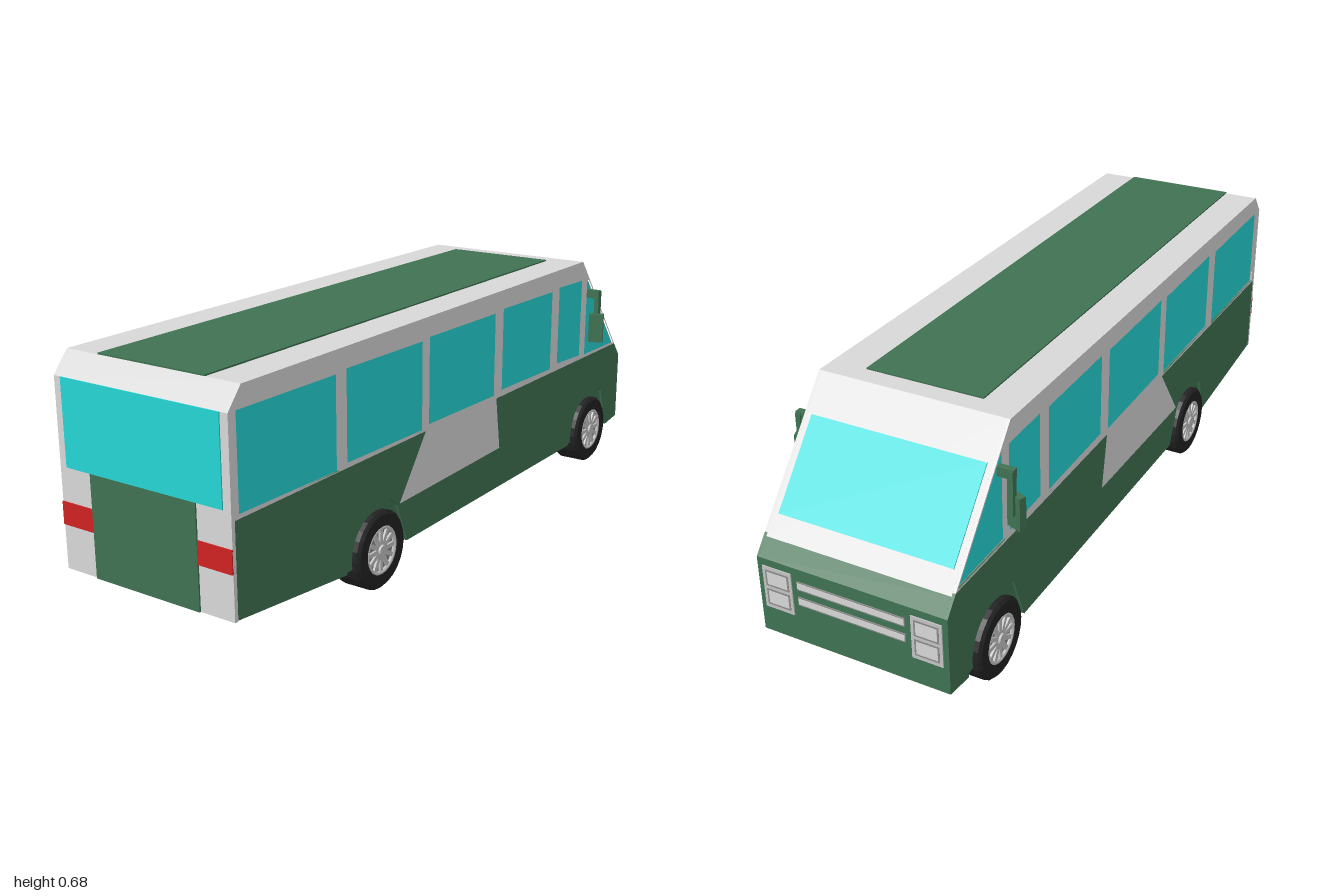
import * as THREE from 'three';

const paint = (name, color, side = THREE.FrontSide) => {
  const m = new THREE.MeshStandardMaterial({ color, side });
  m.name = name;
  return m;
};

export function createModel() {
  const bus = new THREE.Group();
  bus.name = 'bus';
  const grey = paint('light grey', 0xd8d8d8);
  const green = paint('green', 0x3f7252);
  const cyan = paint('cyan glass', 0x25d6d6);
  const red = paint('red', 0xd02222);
  const black = paint('tyre black', 0x222222);
  const metal = paint('rim metal', 0xc4c4c4);
  const shade = paint('recess grey', 0x8c8c8c);

  const add = (name, geo, mat, parent = bus) => {
    const m = new THREE.Mesh(geo, mat);
    m.name = name;
    parent.add(m);
    return m;
  };
  // Side outline given as [z, y] points, extruded across x
  const toPts = (pts) => pts.map(([z, y]) => new THREE.Vector2(-z, y));
  const slab = (name, pts, x0, x1, mat, holes = []) => {
    const shape = new THREE.Shape(toPts(pts));
    shape.holes = holes.map((h) => new THREE.Path(toPts(h)));
    const geo = new THREE.ExtrudeGeometry(shape, { depth: x1 - x0, bevelEnabled: false });
    geo.translate(0, 0, x0).rotateY(Math.PI / 2);
    return add(name, geo, mat);
  };
  // Box given by its limits
  const block = (name, x0, x1, y0, y1, z0, z1, mat, parent = bus) => {
    const m = add(name, new THREE.BoxGeometry(x1 - x0, y1 - y0, z1 - z0), mat, parent);
    m.position.set((x0 + x1) / 2, (y0 + y1) / 2, (z0 + z1) / 2);
    return m;
  };

  const W = 0.267, C = 0.259;

  // Body core, grey above and green below
  slab('upperBody', [[0.996, 0.35], [0.996, 0.62], [0.95, 0.675], [-0.695, 0.675], [-0.963, 0.35]], -C, C, grey);
  slab('lowerBody', [[0.99, 0.35], [-0.963, 0.35], [-0.996, 0.31], [-0.996, 0.095], [-0.92, 0.085],
    [0.57, 0.085], [0.99, 0.13]], -C, C, green);
  block('rearPanel', -W, W, 0.128, 0.4, 0.985, 0.996, grey);

  // Side windows
  const pane = (a, b) => [[a, 0.378], [a, 0.62], [b, 0.615], [b, 0.37]];
  const windows = [pane(0.97, 0.6), pane(0.565, 0.22), pane(0.195, -0.16), pane(-0.195, -0.505), pane(-0.54, -0.705),
    [[-0.73, 0.365], [-0.73, 0.61], [-0.742, 0.61], [-0.947, 0.362]]];

  // Side panels: window wall with its lower patch, and skirt with wheel arches
  const wall = [[0.996, 0.37], [0.996, 0.62], [0.95, 0.675], [-0.695, 0.675], [-0.957, 0.357],
    [-0.165, 0.362], [-0.19, 0.205], [0.335, 0.2], [0.21, 0.366]];
  const skirt = [[0.985, 0.37], [0.21, 0.366], [0.335, 0.2], [-0.19, 0.205], [-0.165, 0.362], [-0.957, 0.357],
    [-0.996, 0.31], [-0.996, 0.095], [-0.915, 0.085], [-0.87, 0.215], [-0.85, 0.228], [-0.71, 0.228],
    [-0.69, 0.215], [-0.64, 0.085], [0.3, 0.085], [0.345, 0.2], [0.38, 0.232], [0.48, 0.232],
    [0.53, 0.2], [0.57, 0.085], [0.985, 0.13]];
  for (const s of [-1, 1]) {
    const span = (a, b) => (s > 0 ? [a, b] : [-b, -a]);
    slab('windowWall', wall, ...span(C, W), grey, windows);
    slab('skirt', skirt, ...span(C, W), green);
    for (const w of windows) slab('sideWindow', w, ...span(C, C + 0.002), cyan);
  }

  // Roof stripe and rear details
  block('roofStripe', -0.165, 0.165, 0.672, 0.679, -0.64, 0.95, green);
  block('rearWindow', -0.244, 0.244, 0.395, 0.62, 0.992, 0.999, cyan);
  block('rearDoor', -0.165, 0.165, 0.128, 0.395, 0.992, 1, green);
  for (const s of [-1, 1]) {
    block('tailLight', Math.min(s * 0.165, s * W), Math.max(s * 0.165, s * W), 0.245, 0.305, 0.992, 0.999, red);
  }

  // Windscreen lying on the sloping front
  const slope = (z) => 0.675 + (z + 0.695) * (0.325 / 0.268);
  const z0 = -0.925, z1 = -0.765;
  const screen = add('windscreen', new THREE.BoxGeometry(0.49, 0.006, Math.hypot(z1 - z0, slope(z1) - slope(z0))), cyan);
  screen.position.set(0, slope((z0 + z1) / 2), (z0 + z1) / 2);
  screen.rotation.x = -Math.atan2(0.325, 0.268);

  // Headlights and grille bars
  for (const s of [-1, 1]) {
    const lamp = new THREE.Group();
    lamp.name = 'headlight';
    lamp.position.x = s * 0.21;
    bus.add(lamp);
    block('lampFrame', -0.042, 0.042, 0.17, 0.29, -0.999, -0.993, metal, lamp);
    for (const y of [0.18, 0.235]) {
      block('lampRim', -0.034, 0.034, y, y + 0.046, -0.9995, -0.994, shade, lamp);
      block('lampLens', -0.029, 0.029, y + 0.005, y + 0.041, -1, -0.994, grey, lamp);
    }
  }
  for (const y of [0.21, 0.255]) {
    block('grilleShadow', -0.152, 0.152, y - 0.004, y + 0.02, -0.999, -0.993, shade);
    block('grilleBar', -0.15, 0.15, y, y + 0.017, -1, -0.993, grey);
  }

  // Mirrors
  for (const s of [-1, 1]) {
    const mirror = new THREE.Group();
    mirror.name = 'mirror';
    bus.add(mirror);
    const put = (name, w, h, d, x, y, z, turn = 0) => {
      const m = add(name, new THREE.BoxGeometry(w, h, d), green, mirror);
      m.position.set(s * x, y, z);
      m.rotation.y = s * turn;
    };
    put('mirrorArm', 0.045, 0.025, 0.018, 0.2825, 0.566, -0.745);
    put('mirrorStem', 0.015, 0.12, 0.018, 0.2975, 0.515, -0.748);
    put('mirrorHead', 0.045, 0.09, 0.02, 0.302, 0.46, -0.735, 0.35);
  }

  // Wheels: tyre, dished rim, spokes and hub
  const tyreProfile = [[0.066, -0.0435], [0.098, -0.0435], [0.106, -0.036], [0.106, 0.036],
    [0.098, 0.0435], [0.066, 0.0435], [0.066, -0.0435]].map(([r, y]) => new THREE.Vector2(r, y));
  for (const z of [0.433, -0.777]) for (const s of [-1, 1]) {
    const wheel = new THREE.Group();
    wheel.name = 'wheel';
    wheel.position.set(s * 0.2365, 0.106, z);
    wheel.rotation.z = -s * Math.PI / 2;
    bus.add(wheel);
    const tyreGeo = new THREE.LatheGeometry(tyreProfile, 24).toNonIndexed();
    tyreGeo.computeVertexNormals();
    add('tyre', tyreGeo, black, wheel);
    add('rimDisc', new THREE.CylinderGeometry(0.067, 0.067, 0.07, 24), shade, wheel);
    const lip = add('rimLip', new THREE.TorusGeometry(0.062, 0.006, 6, 24), metal, wheel);
    lip.rotation.x = Math.PI / 2;
    lip.position.y = 0.038;
    add('hub', new THREE.CylinderGeometry(0.014, 0.018, 0.014, 12), metal, wheel).position.y = 0.039;
    for (let i = 0; i < 12; i++) {
      const a = (i / 12) * Math.PI * 2;
      const spoke = add('spoke', new THREE.BoxGeometry(0.05, 0.008, 0.012), metal, wheel);
      spoke.position.set(Math.cos(a) * 0.036, 0.037, Math.sin(a) * 0.036);
      spoke.rotation.y = -a;
    }
  }
  return bus;
}
